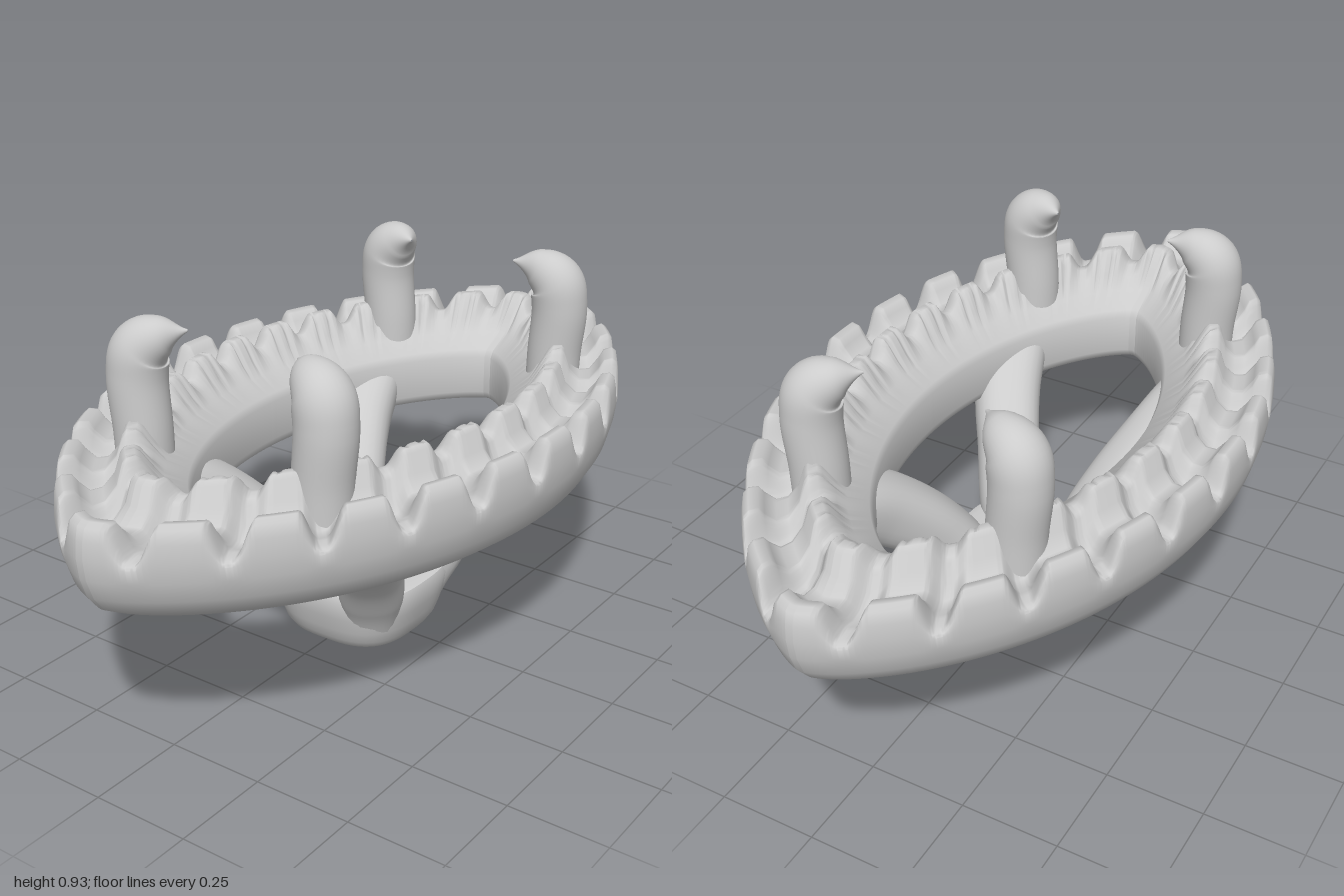
import * as THREE from 'three';
import { toCreasedNormals } from 'three/addons/utils/BufferGeometryUtils.js';

const material = new THREE.MeshStandardMaterial({ color: 0xcccccc });
const { smoothstep, lerp } = THREE.MathUtils;

// Skin a grid of points: point(i, j) with i around the closed loop, j along the profile.
function loft(around, along, closed, point) {
  const pos = [], index = [];
  for (let i = 0; i < around; i++)
    for (let j = 0; j < along; j++) pos.push(...point(i, j));
  for (let i = 0; i < around; i++) {
    for (let j = 0; j < (closed ? along : along - 1); j++) {
      const ni = (i + 1) % around, nj = (j + 1) % along;
      const a = i * along + j, b = ni * along + j, c = i * along + nj, d = ni * along + nj;
      index.push(a, b, c, b, d, c);
    }
  }
  const g = new THREE.BufferGeometry();
  g.setAttribute('position', new THREE.Float32BufferAttribute(pos, 3));
  g.setIndex(index);
  g.computeVertexNormals();
  return g;
}

// Unit superellipse: power 2 is round, higher powers are squarer.
function roundedSquare(angle, power) {
  const c = Math.cos(angle), s = Math.sin(angle);
  const k = (Math.abs(c) ** power + Math.abs(s) ** power) ** (-1 / power);
  return [c * k, s * k];
}

// Rod along a path with a radius at each point; across is its level sideways direction.
function rod(points, radii, across, power) {
  const segments = 40, sides = 32;
  const curve = new THREE.CatmullRomCurve3(points.map(p => new THREE.Vector3(...p)));
  const widths = new THREE.SplineCurve(radii.map((r, i) => new THREE.Vector2(i, r)));
  const rings = Array.from({ length: segments + 1 }, (_, j) => {
    const t = j / segments, tangent = curve.getTangent(t);
    const side = new THREE.Vector3(...across).addScaledVector(tangent, -tangent.dot(new THREE.Vector3(...across))).normalize();
    return { centre: curve.getPoint(t), side, up: tangent.clone().cross(side), r: widths.getPoint(t).y };
  });
  return loft(sides, segments + 1, false, (i, j) => {
    const { centre, side, up, r } = rings[j];
    const [u, v] = roundedSquare(i / sides * Math.PI * 2, power);
    return centre.clone().addScaledVector(side, u * r).addScaledVector(up, v * r).toArray();
  });
}

// Pointed oval; t runs from the inner edge (0) to the outer edge (1).
function ovalPoint(angle, t) {
  const c = Math.cos(angle), s = Math.sin(angle), q = lerp(1.5, 1.46, t);
  return [lerp(0.285, 0.577, t) * Math.sign(c) * Math.abs(c) ** q, lerp(0.62, 1, t) * s];
}

// Halo cross-section: [t, y, drop at the wide notches, drop at the fine slots]
const HALO = [
  [0.02, 0.425, 0, 0], [0, 0.445, 0, 0], [0, 0.55, 0, 0], [0.03, 0.57, 0, 0],
  [0.2, 0.605, 0, 0], [0.28, 0.645, 0.01, 0.012], [0.37, 0.69, 0.035, 0.016], [0.41, 0.7, 0.045, 0.006],
  [0.48, 0.7, 0.05, 0], [0.51, 0.69, 0.05, 0], [0.56, 0.645, 0.045, 0], [0.65, 0.615, 0.04, 0],
  [0.74, 0.615, 0.04, 0], [0.82, 0.645, 0.06, 0], [0.86, 0.666, 0.08, 0], [0.93, 0.67, 0.085, 0],
  [0.97, 0.66, 0.077, 0], [0.99, 0.63, 0.05, 0], [1, 0.59, 0.016, 0], [0.985, 0.54, 0, 0],
  [0.94, 0.49, 0, 0], [0.86, 0.45, 0, 0], [0.76, 0.427, 0, 0], [0.62, 0.42, 0, 0], [0.06, 0.42, 0, 0],
];

function haloGeometry() {
  const steps = 1200, notches = 24, lengths = [0];
  const at = i => ovalPoint(i / steps * Math.PI * 2, 0.7);
  for (let i = 1; i <= steps; i++) {
    const [x0, z0] = at(i - 1), [x1, z1] = at(i);
    lengths.push(lengths[i - 1] + Math.hypot(x1 - x0, z1 - z0));
  }
  return loft(steps, HALO.length, true, (i, j) => {
    const [t, y, wide, fine] = HALO[j];
    const phase = lengths[i] / lengths[steps] * notches;
    const d = Math.abs(phase - Math.floor(phase) - 0.5);   // 0 at the middle of a notch
    const notch = 1 - smoothstep(d, 0.04, t < 0.6 ? 0.31 : 0.28);
    const slot = 1 - smoothstep(Math.abs(d - 0.36), 0, 0.09);
    const [x, z] = ovalPoint(i / steps * Math.PI * 2, t);
    return [x, y - wide * notch - fine * slot, z];
  });
}

// Base sections from top to bottom: [half width, y]
const BASE = [
  [0, 0.172], [0.12, 0.173], [0.18, 0.176], [0.203, 0.168], [0.209, 0.15], [0.2, 0.1],
  [0.189, 0.06], [0.179, 0.03], [0.166, 0.01], [0.145, 0], [0, 0],
];

function baseGeometry() {
  return loft(64, BASE.length, false, (i, j) => {
    const [u, v] = roundedSquare(i / 64 * Math.PI * 2, 2.9);
    const [r, y] = BASE[j];
    return [u * r, y, v * r * 1.02];
  });
}

export function createModel() {
  const group = new THREE.Group();
  const add = (name, geometry) => {
    const mesh = new THREE.Mesh(geometry, material);
    mesh.name = name;
    group.add(mesh);
  };

  add('halo', toCreasedNormals(haloGeometry(), 1.1));
  add('base', toCreasedNormals(baseGeometry(), 0.8));

  // Four splayed legs, each topped by a claw curling inwards
  for (const z of [1, -1]) {
    for (const x of [1, -1]) {
      const place = (x > 0 ? 'left' : 'right') + (z > 0 ? 'Front' : 'Back');
      const mirror = points => points.map(p => [p[0] * x, p[1], p[2] * z]);
      add(place + 'Leg', rod(
        mirror([[0.1, 0.08, 0.1], [0.124, 0.18, 0.132], [0.172, 0.3, 0.205], [0.238, 0.41, 0.32], [0.27, 0.48, 0.43], [0.285, 0.51, 0.49]]),
        [0.07, 0.084, 0.084, 0.09, 0.082, 0.06], [x * 0.8, 0, -z * 0.6], 2.6));
      add(place + 'Claw', rod(
        mirror([[0.262, 0.48, 0.515], [0.265, 0.65, 0.515], [0.275, 0.79, 0.514], [0.262, 0.855, 0.508], [0.215, 0.89, 0.49], [0.16, 0.904, 0.46]]),
        [0.07, 0.071, 0.073, 0.071, 0.049, 0.003], [0, 0, 1], 2));
    }
  }
  return group;
}
